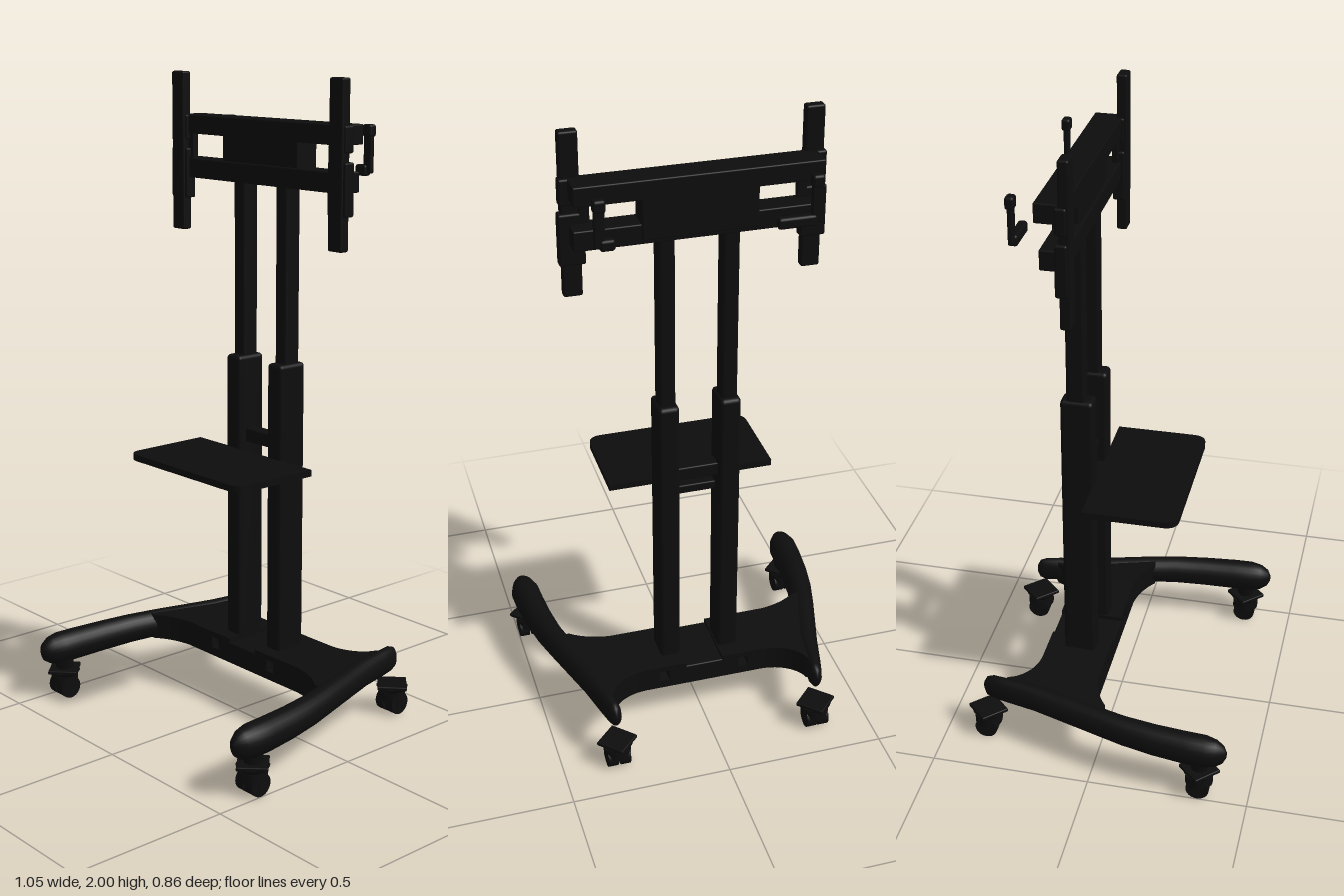
import * as THREE from 'three';
import { RoundedBoxGeometry } from 'three/addons/geometries/RoundedBoxGeometry.js';

const black = new THREE.MeshStandardMaterial({ color: 0x0d0d0d });
black.name = 'satin black';

export function createModel() {
  const root = new THREE.Group();
  root.name = 'mobileScreenStand';

  const add = (name, geo, parent = root) => {
    const m = new THREE.Mesh(geo, black);
    m.name = name;
    parent.add(m);
    return m;
  };
  // Box given by its minimum and maximum corners, with softened edges
  const box = (name, x0, x1, y0, y1, z0, z1, r = 0.004, parent = root) => {
    const g = new RoundedBoxGeometry(x1 - x0, y1 - y0, z1 - z0, 2, r);
    g.translate((x0 + x1) / 2, (y0 + y1) / 2, (z0 + z1) / 2);
    return add(name, g, parent);
  };
  const cyl = (name, rt, rb, h, x, y, z, parent, seg = 20) => {
    const m = add(name, new THREE.CylinderGeometry(rt, rb, h, seg), parent);
    m.position.set(x, y, z);
    return m;
  };
  // Mirrored copy across x with corner order restored
  const mirrorX = (geo) => {
    const g = geo.index ? geo.toNonIndexed() : geo.clone();
    g.scale(-1, 1, 1);
    for (const key of Object.keys(g.attributes)) {
      const a = g.attributes[key], n = a.itemSize;
      for (let i = 0; i < a.count; i += 3) {
        for (let k = 0; k < n; k++) {
          const p = (i + 1) * n + k, q = (i + 2) * n + k, t = a.array[p];
          a.array[p] = a.array[q];
          a.array[q] = t;
        }
      }
    }
    return g;
  };
  const addPair = (name, geo) => {
    add(name + 'Left', geo);
    add(name + 'Right', mirrorX(geo));
  };
  // Flat shape drawn as (x, -z), raised from y0 to y1
  const slab = (shape, y0, y1) => {
    const g = new THREE.ExtrudeGeometry(shape, { depth: y1 - y0, bevelEnabled: false, curveSegments: 12 });
    g.rotateX(-Math.PI / 2);
    g.translate(0, y0, 0);
    return g;
  };

  // Curved legs: oval sections swept from rear to front [x, y, z, half width, half height]
  const stations = [
    [0.328, 0.188, -0.376, 0.006, 0.014], [0.329, 0.188, -0.366, 0.018, 0.034],
    [0.331, 0.188, -0.345, 0.023, 0.042], [0.34, 0.188, -0.3, 0.027, 0.043],
    [0.355, 0.187, -0.2, 0.038, 0.043], [0.383, 0.185, -0.1, 0.04, 0.044],
    [0.412, 0.183, 0, 0.041, 0.045], [0.438, 0.179, 0.1, 0.042, 0.047],
    [0.454, 0.175, 0.2, 0.045, 0.049], [0.464, 0.172, 0.3, 0.047, 0.051],
    [0.467, 0.171, 0.36, 0.047, 0.051], [0.468, 0.17, 0.395, 0.036, 0.045],
    [0.469, 0.17, 0.418, 0.022, 0.03], [0.469, 0.17, 0.428, 0.006, 0.01],
  ];
  const N = 24, pos = [], idx = [];
  stations.forEach(([x, y, z, w, h]) => {
    for (let i = 0; i < N; i++) {
      const a = (i / N) * Math.PI * 2;
      pos.push(x + w * Math.cos(a), y + h * Math.sin(a), z);
    }
  });
  for (let s = 0; s < stations.length - 1; s++) {
    for (let i = 0; i < N; i++) {
      const a = s * N + i, b = s * N + (i + 1) % N;
      idx.push(a, b, b + N, a, b + N, a + N);
    }
  }
  const last = (stations.length - 1) * N;
  for (let i = 1; i < N - 1; i++) idx.push(0, i + 1, i, last, last + i, last + i + 1);
  const leg = new THREE.BufferGeometry();
  leg.setAttribute('position', new THREE.Float32BufferAttribute(pos, 3));
  leg.setIndex(idx);
  leg.computeVertexNormals();
  addPair('leg', leg);

  // Base deck: two sheets with a small open channel beside each column
  const deckHalf = (x0) => {
    const s = new THREE.Shape();
    s.moveTo(x0, 0.018);
    s.lineTo(0.26, 0.018);
    s.quadraticCurveTo(0.335, 0.01, 0.387, -0.032);
    s.lineTo(0.415, -0.03);
    s.lineTo(0.355, 0.2);
    s.lineTo(0.335, 0.31);
    s.lineTo(0.318, 0.3);
    s.bezierCurveTo(0.31, 0.262, 0.26, 0.22, 0.19, 0.22);
    s.lineTo(x0, 0.22);
    s.closePath();
    return s;
  };
  addPair('deckBottom', slab(deckHalf(0), 0.143, 0.17));
  addPair('deckTop', slab(deckHalf(0.06), 0.206, 0.224));
  addPair('deckCore', slab(deckHalf(0.147), 0.17, 0.206));
  box('deckCentre', -0.117, 0.117, 0.145, 0.211, -0.22, -0.018);

  // Telescoping columns
  for (const s of [-1, 1]) {
    const side = s > 0 ? 'Left' : 'Right', c = s * 0.095;
    box('lowerColumn' + side, c - 0.032, c + 0.032, 0.16, 1.14, -0.164, -0.063, 0.012);
    box('upperColumn' + side, c - 0.025, c + 0.025, 1.1, 1.74, -0.146, -0.088, 0.01);
    for (let i = 0; i < 7; i++) {
      cyl('heightStud', 0.007, 0.007, 0.004, c, 1.2 + i * 0.07, -0.147, root, 12).rotation.x = Math.PI / 2;
    }
  }

  // Cross brace and shelf
  box('crossBrace', -0.07, 0.07, 0.865, 0.908, -0.135, -0.09);
  box('shelfBracket', -0.07, 0.07, 0.8, 0.828, -0.11, -0.065);
  const sh = new THREE.Shape(), w = 0.26, zf = -0.223, zb = 0.068, r = 0.045;
  sh.moveTo(-w, zb);
  sh.lineTo(-w, zf + r);
  sh.quadraticCurveTo(-w, zf, -w + r, zf);
  sh.lineTo(w - r, zf);
  sh.quadraticCurveTo(w, zf, w, zf + r);
  sh.lineTo(w, zb);
  sh.closePath();
  add('shelf', slab(sh, 0.824, 0.844));

  // Screen mount: two rails, centre plate and vertical arms
  box('upperRail', -0.36, 0.36, 1.81, 1.868, -0.163, -0.075);
  box('lowerRail', -0.36, 0.36, 1.674, 1.734, -0.15, -0.075);
  box('mountPlate', -0.168, 0.168, 1.69, 1.85, -0.163, -0.085);
  for (const s of [-1, 1]) {
    const side = s > 0 ? 'Left' : 'Right';
    const arm = new THREE.Group();
    arm.name = 'screenArm' + side;
    root.add(arm);
    const c = s * 0.352;
    box('armRail', c - 0.028, c + 0.028, 1.51, 2, -0.09, -0.058, 0.006, arm);
    box('armBracket', c - 0.038, c + 0.038, 1.61, 1.765, -0.1, -0.064, 0.006, arm);
    box('armClamp', c - 0.034, c + 0.034, 1.79, 1.868, -0.1, -0.066, 0.006, arm);
    const lug = s * 0.316;
    box('armTie', lug - 0.015, lug + 0.015, 1.69, 1.85, -0.1, -0.08, 0.004, arm);

    // Cable hook behind the mount
    const hook = new THREE.Group();
    hook.name = 'cableHook' + side;
    root.add(hook);
    const hx = s * 0.308, tip = s > 0 ? 0.265 : -0.195;
    box('hookBar', hx - 0.016, hx + 0.016, 1.72, 1.85, -0.246, -0.23, 0.006, hook);
    box('hookTop', hx - 0.018, hx + 0.018, 1.825, 1.862, -0.252, -0.225, 0.008, hook);
    box('hookFoot', Math.min(hx, tip), Math.max(hx, tip), 1.712, 1.745, -0.25, -0.223, 0.008, hook);
  }

  // Twin-wheel casters, each under a square plate turned to a diamond
  const caster = (name, x, z, stem) => {
    const g = new THREE.Group();
    g.name = name;
    g.position.set(x, 0, z);
    root.add(g);
    const plate = box('casterPlate', -0.046, 0.046, 0.09, 0.102, -0.046, 0.046, 0.003, g);
    plate.rotation.y = Math.PI / 4;
    cyl('casterCollar', 0.05, 0.036, 0.02, 0, 0.082, 0, g);
    cyl('casterHood', 0.043, 0.043, 0.032, 0, 0.063, 0, g);
    for (const s of [-1, 1]) {
      cyl('wheel', 0.036, 0.036, 0.031, s * 0.02, 0.041, 0, g, 24).rotation.z = Math.PI / 2;
    }
    cyl('axle', 0.012, 0.012, 0.08, 0, 0.041, 0, g).rotation.z = Math.PI / 2;
    if (stem) cyl('casterStem', 0.034, 0.026, 0.05, 0, 0.122, 0, g);
  };
  for (const s of [-1, 1]) {
    const side = s > 0 ? 'Left' : 'Right';
    caster('frontCaster' + side, s * 0.463, 0.345, true);
    caster('rearCaster' + side, s * 0.328, -0.367, false);
  }

  // Stand the wheels exactly on the floor
  root.updateMatrixWorld(true);
  const low = new THREE.Box3().setFromObject(root, true).min.y;
  root.children.forEach((c) => { c.position.y -= low; });
  return root;
}
